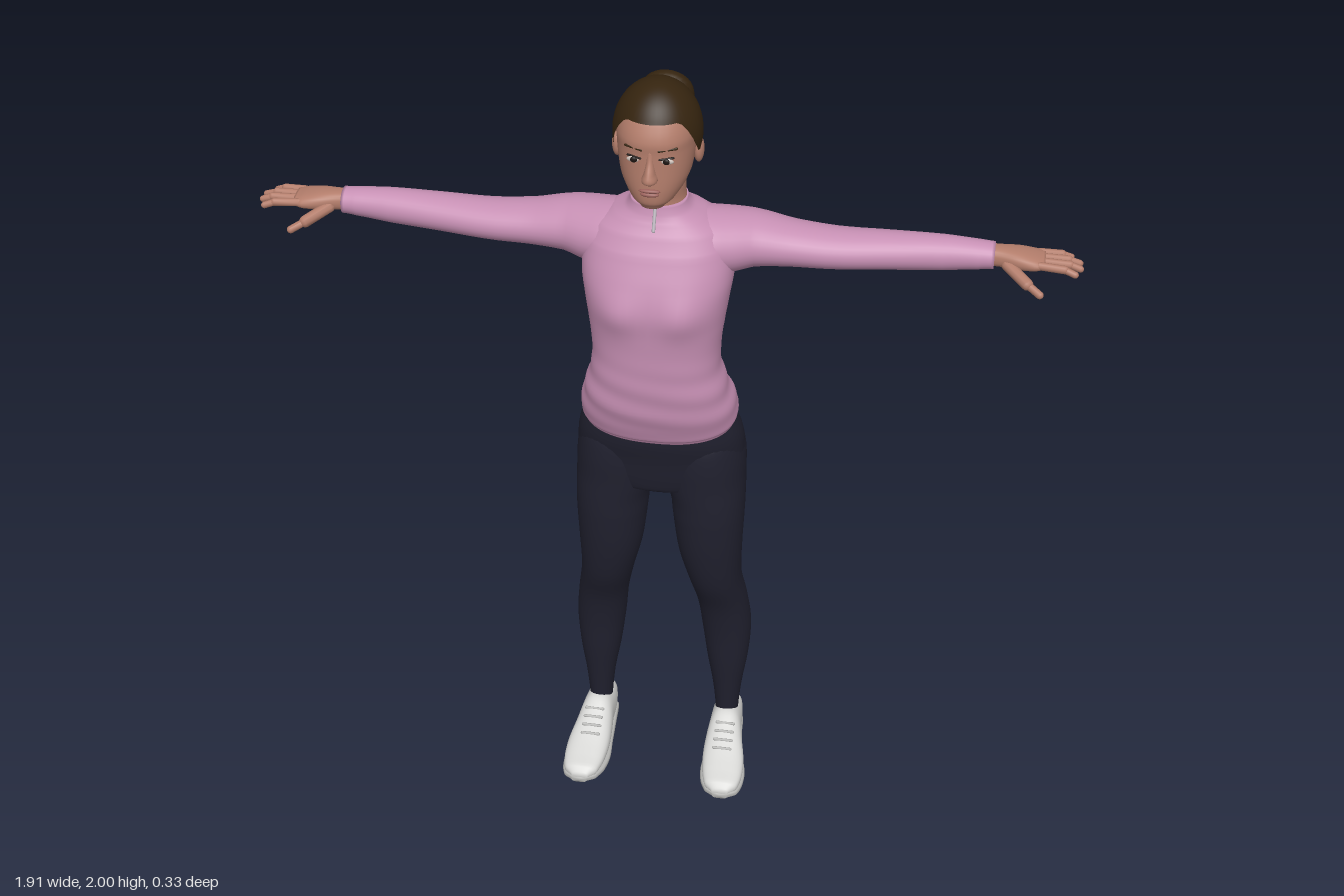
import * as THREE from 'three';

const mat = (name, color) => {
  const m = new THREE.MeshStandardMaterial({ color });
  m.name = name;
  return m;
};
const M = {
  skin: mat('skin', 0xb37d6b), hair: mat('brown hair', 0x35240f), pink: mat('pink knit', 0xc790b4),
  navy: mat('navy leggings', 0x20202e), shoe: mat('shoe grey', 0xd6d6d4), sole: mat('sole grey', 0xb4b4b2),
  lip: mat('lips', 0x99605a), white: mat('eye white', 0xc9bdb6), dark: mat('iris', 0x1d1512),
  zip: mat('zip', 0xb9b4bb),
};
M.hair.side = THREE.DoubleSide;

// Smooth loft. Section: [t, aMin, aMax, bMin, bMax], t ascending along the axis.
// Axes (t; a, b): y -> x, z   x -> z, y   z -> y, x
const ORDER = { y: [1, 0, 2], x: [0, 2, 1], z: [2, 1, 0] };
function loft(axis, sections, { n = 2, seg = 32, sub = 5, deform } = {}) {
  const pos = [], idx = [], [T, A, B] = ORDER[axis];
  const put = (t, a, b) => {
    const p = [0, 0, 0];
    p[T] = t; p[A] = a; p[B] = b;
    const v = new THREE.Vector3(...p);
    if (deform) deform(v);
    pos.push(v.x, v.y, v.z);
  };
  const cr = (p, q, r, s, u) => q + 0.5 * u * (r - p + u * (2 * p - 5 * q + 4 * r - s + u * (3 * (q - r) + s - p)));
  const last = sections.length - 1, rows = last * sub;
  const at = (i) => sections[Math.min(Math.max(i, 0), last)];
  const rings = [];
  for (let r = 0; r <= rows; r++) {
    const i = Math.min(Math.floor(r / sub), last - 1), u = r / sub - i;
    rings.push(at(i).map((_, k) => k === 0
      ? at(i)[0] + (at(i + 1)[0] - at(i)[0]) * u
      : cr(at(i - 1)[k], at(i)[k], at(i + 1)[k], at(i + 2)[k], u)));
  }
  const pw = (c) => Math.sign(c) * Math.abs(c) ** (2 / n);
  for (const [t, a0, a1, b0, b1] of rings)
    for (let j = 0; j < seg; j++) {
      const th = (j / seg) * Math.PI * 2;
      put(t, (a0 + a1) / 2 + (a1 - a0) / 2 * pw(Math.cos(th)), (b0 + b1) / 2 + (b1 - b0) / 2 * pw(Math.sin(th)));
    }
  for (let r = 0; r < rows; r++)
    for (let j = 0; j < seg; j++) {
      const k = (j + 1) % seg, a = r * seg + j, b = r * seg + k, c = a + seg, d = b + seg;
      idx.push(a, c, b, b, c, d);
    }
  for (const r of [0, rows]) { // end caps
    const [t, a0, a1, b0, b1] = rings[r], c = pos.length / 3;
    put(t, (a0 + a1) / 2, (b0 + b1) / 2);
    for (let j = 0; j < seg; j++) {
      const a = r * seg + j, b = r * seg + (j + 1) % seg;
      idx.push(c, r ? b : a, r ? a : b);
    }
  }
  const g = new THREE.BufferGeometry();
  g.setAttribute('position', new THREE.Float32BufferAttribute(pos, 3));
  g.setIndex(idx);
  g.computeVertexNormals();
  return g;
}

const ball = (x, y, z, rx, ry, rz) => new THREE.SphereGeometry(1, 20, 14).scale(rx, ry, rz).translate(x, y, z);

// Rounded segment between two points
function bone(p, q, r) {
  const a = new THREE.Vector3(...p), b = new THREE.Vector3(...q), d = b.clone().sub(a);
  const rot = new THREE.Quaternion().setFromUnitVectors(new THREE.Vector3(0, 1, 0), d.clone().normalize());
  const mid = a.add(b).multiplyScalar(0.5);
  return new THREE.CapsuleGeometry(r, d.length(), 5, 10).applyQuaternion(rot).translate(mid.x, mid.y, mid.z);
}

function mirrored(geo) {
  const g = geo.clone().scale(-1, 1, 1), ix = g.index;
  for (let i = 0; i < ix.count; i += 3) {
    const t = ix.getX(i);
    ix.setX(i, ix.getX(i + 1));
    ix.setX(i + 1, t);
  }
  g.computeVertexNormals();
  return g;
}

// Cap of hair whose lower edge drops from the forehead to the nape
function hairCap() {
  const pos = [], idx = [], U = 48, V = 16;
  const step = THREE.MathUtils.smoothstep;
  for (let v = 0; v <= V; v++)
    for (let u = 0; u < U; u++) {
      const a = (u / U) * Math.PI * 2, off = Math.abs(a > Math.PI ? a - 2 * Math.PI : a) * 180 / Math.PI;
      const edge = 61 + 43 * step(off, 38, 80) + 31 * step(off, 85, 140);
      const p = (v / V) * edge * Math.PI / 180, c = Math.cos(p), s = Math.sin(p);
      pos.push(0.1 * s * Math.sin(a), 1.88 + (c > 0 ? 0.12 : 0.14) * c, 0.015 + 0.107 * s * Math.cos(a));
    }
  for (let v = 0; v < V; v++)
    for (let u = 0; u < U; u++) {
      const k = (u + 1) % U, a = v * U + u, b = v * U + k;
      idx.push(a, a + U, b, b, a + U, b + U);
    }
  const g = new THREE.BufferGeometry();
  g.setAttribute('position', new THREE.Float32BufferAttribute(pos, 3));
  g.setIndex(idx);
  g.computeVertexNormals();
  return g;
}

export function createModel() {
  const root = new THREE.Group();
  const add = (name, geo, m) => {
    const mesh = new THREE.Mesh(geo, m);
    mesh.name = name;
    root.add(mesh);
  };
  const pair = (name, geo, m) => {
    add('left ' + name, geo, m);
    add('right ' + name, mirrored(geo), m);
  };

  // Head and neck
  add('neck', loft('y', [[1.66, -0.07, 0.07, -0.075, 0.055], [1.71, -0.061, 0.061, -0.068, 0.05],
    [1.75, -0.06, 0.06, -0.07, 0.055], [1.8, -0.06, 0.06, -0.075, 0.05]]), M.skin);
  add('head', loft('y', [[1.733, -0.028, 0.028, 0.05, 0.112], [1.75, -0.049, 0.049, 0.0, 0.123],
    [1.775, -0.067, 0.067, -0.04, 0.126], [1.8, -0.078, 0.078, -0.06, 0.126], [1.83, -0.084, 0.084, -0.07, 0.125],
    [1.87, -0.088, 0.088, -0.08, 0.124], [1.9, -0.089, 0.089, -0.08, 0.123], [1.94, -0.08, 0.08, -0.07, 0.105],
    [1.965, -0.058, 0.058, -0.045, 0.08], [1.98, -0.03, 0.03, -0.01, 0.05]], { n: 2.15 }), M.skin);
  add('nose', loft('y', [[1.803, -0.01, 0.01, 0.1, 0.135], [1.813, -0.018, 0.018, 0.1, 0.15],
    [1.83, -0.013, 0.013, 0.1, 0.146], [1.855, -0.009, 0.009, 0.1, 0.131], [1.88, -0.01, 0.01, 0.1, 0.124]],
  { seg: 16 }), M.skin);
  add('upper lip', ball(0, 1.786, 0.126, 0.024, 0.005, 0.007), M.lip);
  add('lower lip', ball(0, 1.777, 0.125, 0.021, 0.006, 0.008), M.lip);
  pair('eye', ball(0.036, 1.858, 0.117, 0.016, 0.007, 0.005), M.white);
  pair('iris', ball(0.036, 1.858, 0.12, 0.008, 0.007, 0.004), M.dark);
  pair('upper lash', bone([0.021, 1.863, 0.122], [0.05, 1.865, 0.112], 0.0025), M.dark);
  pair('eyebrow', bone([0.019, 1.883, 0.121], [0.056, 1.885, 0.106], 0.003), M.hair);
  pair('ear', ball(0.091, 1.838, 0.012, 0.012, 0.032, 0.019), M.skin);

  // Hair and bun
  add('hair', hairCap(), M.hair);
  add('bun coil', new THREE.TorusGeometry(0.036, 0.026, 12, 28).rotateX(0.3).translate(0, 1.902, -0.112), M.hair);
  add('bun centre', ball(0, 1.905, -0.122, 0.034, 0.034, 0.036), M.hair);
  add('bun base', ball(0, 1.895, -0.08, 0.05, 0.048, 0.03), M.hair);

  // Sweater body: chest shape, slanted hem and soft waist folds
  const shapeTorso = (v) => {
    const y = v.y;
    if (v.z > 0.05) v.z += 0.013 * Math.exp(-(((Math.abs(v.x) - 0.075) / 0.05) ** 2) - ((y - 1.465) / 0.05) ** 2);
    const fold = 0.014 * Math.exp(-(((y - 1.22) / 0.08) ** 2)) * Math.sin(y * 85 + v.x * 14 + v.z * 9);
    v.x *= 1 + fold;
    v.z *= 1 + fold;
    v.y -= 0.2 * v.z * (1 - THREE.MathUtils.smoothstep(y, 1.1, 1.3));
  };
  add('sweater body', loft('y', [[1.1, -0.182, 0.182, -0.132, 0.094], [1.115, -0.188, 0.188, -0.139, 0.103],
    [1.16, -0.184, 0.184, -0.122, 0.12], [1.2, -0.174, 0.174, -0.1, 0.133], [1.25, -0.16, 0.16, -0.082, 0.14],
    [1.3, -0.15, 0.15, -0.077, 0.144], [1.35, -0.151, 0.151, -0.086, 0.146], [1.4, -0.157, 0.157, -0.1, 0.149],
    [1.47, -0.167, 0.167, -0.118, 0.152], [1.53, -0.175, 0.175, -0.124, 0.138], [1.6, -0.17, 0.17, -0.122, 0.108],
    [1.64, -0.148, 0.148, -0.112, 0.085], [1.665, -0.108, 0.108, -0.097, 0.068], [1.682, -0.076, 0.076, -0.08, 0.059],
    [1.705, -0.064, 0.064, -0.068, 0.053]], { n: 2.35, seg: 56, sub: 6, deform: shapeTorso }), M.pink);
  add('zip', bone([0, 1.7, 0.054], [0, 1.655, 0.077], 0.004), M.zip);

  // Sleeves and hands
  pair('sleeve', loft('x', [[0.06, -0.09, 0.06, 1.54, 1.672], [0.12, -0.114, 0.07, 1.515, 1.664],
    [0.17, -0.124, 0.054, 1.516, 1.657], [0.22, -0.125, 0.032, 1.526, 1.648], [0.3, -0.117, 0.018, 1.53, 1.631],
    [0.4, -0.111, 0.01, 1.531, 1.622], [0.52, -0.11, -0.006, 1.535, 1.621], [0.64, -0.106, -0.02, 1.54, 1.621],
    [0.72, -0.1, -0.027, 1.549, 1.617], [0.755, -0.098, -0.03, 1.553, 1.614]]), M.pink);
  pair('palm', loft('x', [[0.735, -0.09, -0.04, 1.56, 1.608], [0.77, -0.092, -0.036, 1.561, 1.608],
    [0.81, -0.099, -0.025, 1.562, 1.606], [0.845, -0.101, -0.02, 1.566, 1.6], [0.868, -0.098, -0.024, 1.572, 1.594]],
  { n: 2.4, seg: 24 }), M.skin);
  const fingers = [[-0.091, 0.905, 0.925, -0.098], [-0.071, 0.92, 0.945, -0.074],
    [-0.051, 0.923, 0.947, -0.049], [-0.031, 0.912, 0.936, -0.022]];
  fingers.forEach(([z, mx, tx, tz], i) => {
    const mid = [mx, 1.583, (z + tz) / 2];
    pair(`finger ${i + 1} base`, bone([0.855, 1.585, z], mid, 0.0095), M.skin);
    pair(`finger ${i + 1} tip`, bone(mid, [tx, 1.575, tz], 0.008), M.skin);
  });
  pair('thumb base', bone([0.785, 1.575, -0.04], [0.832, 1.556, 0.004], 0.014), M.skin);
  pair('thumb tip', bone([0.832, 1.556, 0.004], [0.862, 1.543, 0.024], 0.009), M.skin);

  // Leggings
  add('leggings hips', loft('y', [[0.893, -0.11, 0.11, -0.1, 0.035], [0.91, -0.16, 0.16, -0.125, 0.055],
    [0.95, -0.2, 0.2, -0.142, 0.064], [1.0, -0.203, 0.203, -0.15, 0.071], [1.06, -0.197, 0.197, -0.144, 0.083],
    [1.13, -0.175, 0.175, -0.115, 0.085]], { n: 2.3, seg: 48 }), M.navy);
  pair('leggings leg', loft('y', [[0.1, 0.14, 0.198, -0.122, -0.048], [0.2, 0.131, 0.206, -0.132, -0.041],
    [0.3, 0.114, 0.22, -0.149, -0.031], [0.4, 0.101, 0.226, -0.153, -0.023], [0.5, 0.09, 0.217, -0.136, -0.004],
    [0.6, 0.07, 0.203, -0.116, 0.034], [0.7, 0.046, 0.204, -0.114, 0.055], [0.8, 0.033, 0.208, -0.121, 0.065],
    [0.86, 0.026, 0.209, -0.132, 0.067], [0.92, 0.008, 0.208, -0.15, 0.067], [0.99, 0.003, 0.205, -0.162, 0.068],
    [1.05, 0.012, 0.192, -0.146, 0.06], [1.09, 0.04, 0.16, -0.11, 0.03]], { n: 2.15 }), M.navy);

  // Trainers
  pair('trainer upper', loft('z', [[-0.154, 0.03, 0.085, 0.153, 0.187], [-0.143, 0.012, 0.11, 0.137, 0.203],
    [-0.1, 0.012, 0.12, 0.131, 0.209], [-0.045, 0.012, 0.132, 0.13, 0.213], [0, 0.012, 0.109, 0.126, 0.222],
    [0.05, 0.012, 0.083, 0.125, 0.233], [0.1, 0.012, 0.063, 0.131, 0.235], [0.14, 0.014, 0.05, 0.143, 0.227],
    [0.16, 0.018, 0.036, 0.165, 0.205]], { n: 2.5 }), M.shoe);
  pair('trainer sole', loft('z', [[-0.157, 0.006, 0.026, 0.15, 0.19], [-0.143, 0, 0.028, 0.134, 0.206],
    [-0.09, 0, 0.026, 0.13, 0.211], [0, 0, 0.024, 0.125, 0.224], [0.06, 0, 0.023, 0.121, 0.238],
    [0.11, 0.002, 0.024, 0.128, 0.238], [0.145, 0.006, 0.026, 0.144, 0.228], [0.164, 0.011, 0.026, 0.168, 0.204]],
  { n: 3.5 }), M.sole);
  for (let i = 0; i < 4; i++) {
    const z = -0.012 + i * 0.021, y = 0.113 - i * 0.0108;
    pair(`lace ${i + 1}`, bone([0.153, y, z], [0.197, y, z], 0.004), M.sole);
  }
  return root;
}
